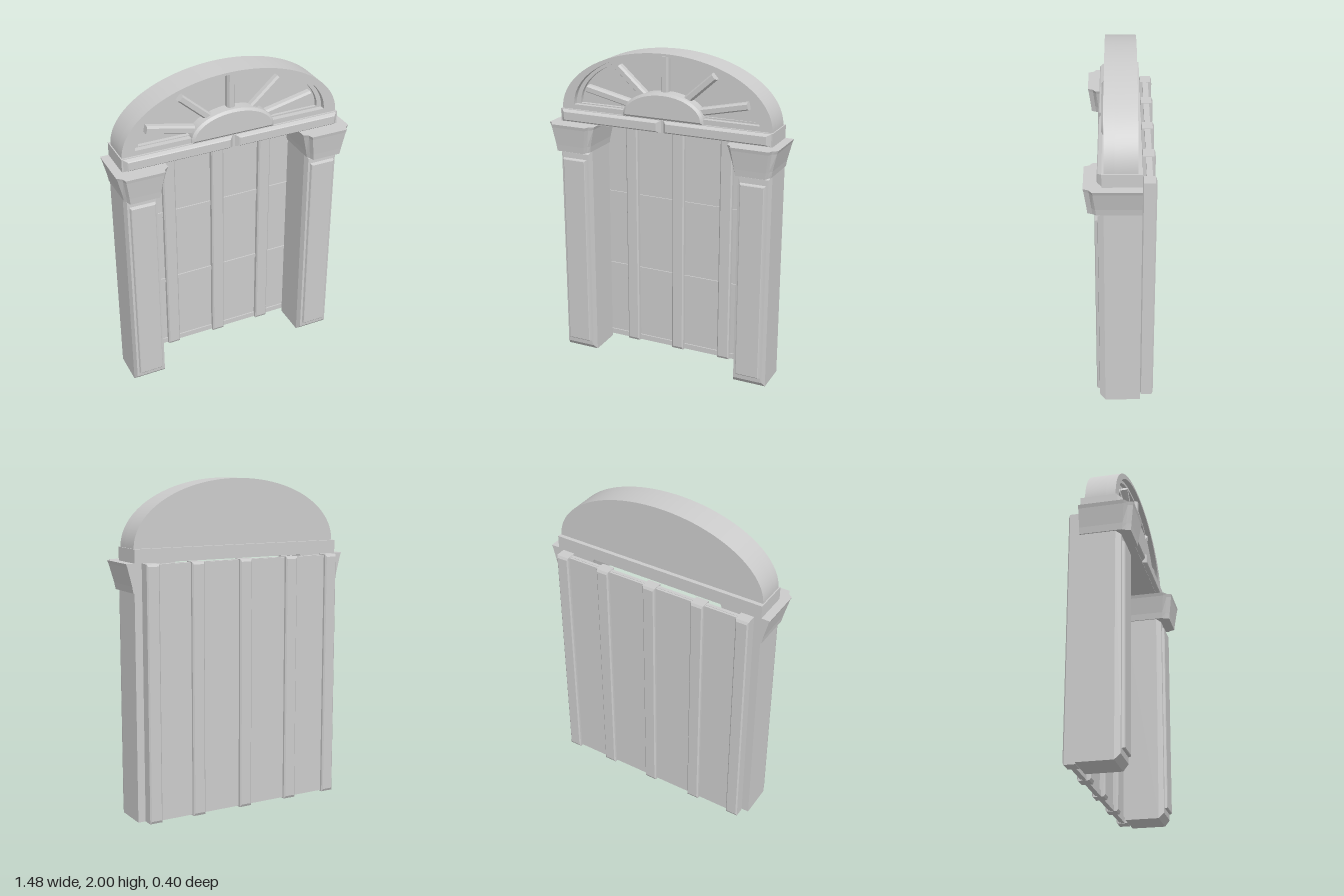
import * as THREE from 'three';
import { toCreasedNormals } from 'three/addons/utils/BufferGeometryUtils.js';

const material = new THREE.MeshStandardMaterial({ color: 0xcccccc });

function add(parent, name, geometry, x = 0, y = 0, z = 0) {
  const mesh = new THREE.Mesh(geometry, material);
  mesh.name = name;
  mesh.position.set(x, y, z);
  parent.add(mesh);
  return mesh;
}

// Box given by its lower and upper corners
function box(parent, name, [x0, y0, z0], [x1, y1, z1]) {
  return add(parent, name, new THREE.BoxGeometry(x1 - x0, y1 - y0, z1 - z0),
    (x0 + x1) / 2, (y0 + y1) / 2, (z0 + z1) / 2);
}

// Closed solid through counter-clockwise outlines stacked along z
function loft(layers) {
  const pos = [];
  const rings = layers.map(({ z, pts }) => pts.map(([x, y]) => [x, y, z]));
  const tri = (a, b, c) => pos.push(...a, ...b, ...c);
  const n = rings[0].length, last = rings[rings.length - 1];
  for (let i = 0; i < rings.length - 1; i++) {
    for (let j = 0; j < n; j++) {
      const k = (j + 1) % n;
      tri(rings[i][j], rings[i][k], rings[i + 1][k]);
      tri(rings[i][j], rings[i + 1][k], rings[i + 1][j]);
    }
  }
  for (let j = 1; j < n - 1; j++) {
    tri(rings[0][0], rings[0][j + 1], rings[0][j]);
    tri(last[0], last[j], last[j + 1]);
  }
  const g = new THREE.BufferGeometry();
  g.setAttribute('position', new THREE.Float32BufferAttribute(pos, 3));
  g.computeVertexNormals();
  return g;
}

const rect = (z, x0, x1, y0, y1) => ({ z, pts: [[x0, y0], [x1, y0], [x1, y1], [x0, y1]] });

// Upper half of an ellipse, closed along its base
function halfEllipse(rx, ry, y) {
  const s = new THREE.Shape();
  s.moveTo(rx, y);
  s.absellipse(0, y, rx, ry, 0, Math.PI, false, 0);
  s.closePath();
  return s;
}

function extrude(shape, z0, z1, options = {}) {
  const g = new THREE.ExtrudeGeometry(shape, { depth: z1 - z0, curveSegments: 40, bevelEnabled: false, ...options });
  g.translate(0, 0, z0);
  return toCreasedNormals(g, 0.5);
}

function createPillar(side) {
  const pillar = new THREE.Group();
  pillar.name = side > 0 ? 'leftPillar' : 'rightPillar';
  pillar.position.x = side * 0.585;

  // Shaft with a stepped, bevelled front
  add(pillar, 'shaft', loft([
    rect(-0.12, -0.105, 0.105, 0, 1.36),
    rect(0.09, -0.105, 0.105, 0, 1.36),
    rect(0.122, -0.093, 0.093, 0.035, 1.34),
    rect(0.124, -0.08, 0.08, 0.068, 1.305),
    rect(0.138, -0.075, 0.075, 0.07, 1.3),
    rect(0.141, -0.07, 0.07, 0.075, 1.295),
  ]));

  // Flared capital, lofted upwards
  const plan = (y, w, corner, front, inner) => ({
    z: y,
    pts: [[-w, 0.12], [-w, -corner], [-inner - 0.01, -corner - 0.02], [-inner, -front],
      [inner, -front], [inner + 0.01, -corner - 0.02], [w, -corner], [w, 0.12]],
  });
  const capital = loft([
    plan(1.36, 0.112, 0.13, 0.178, 0.09),
    plan(1.4, 0.119, 0.135, 0.182, 0.095),
    plan(1.51, 0.147, 0.147, 0.196, 0.112),
    plan(1.53, 0.155, 0.15, 0.2, 0.117),
  ]);
  capital.rotateX(-Math.PI / 2);
  add(pillar, 'capital', capital);
  return pillar;
}

function createLintel() {
  const lintel = new THREE.Group();
  lintel.name = 'lintel';
  box(lintel, 'lintelBeam', [-0.687, 1.53, -0.12], [0.687, 1.61, 0.1]);
  for (const s of [-1, 1]) {
    const x = s * 0.343;
    add(lintel, 'lintelPanel', loft([
      rect(0.1, -0.335, 0.335, 1.533, 1.607),
      rect(0.12, -0.318, 0.318, 1.541, 1.599),
      rect(0.125, -0.312, 0.312, 1.546, 1.594),
    ]), x);
  }
  return lintel;
}

function createFanlight() {
  const fan = new THREE.Group();
  fan.name = 'fanlight';
  const back = 0.03;

  // Solid arch behind, rim with a fan-shaped opening in front
  add(fan, 'archBody', extrude(halfEllipse(0.68, 0.39, 1.61), -0.095, back));
  const rim = halfEllipse(0.68, 0.39, 1.61);
  rim.holes.push(halfEllipse(0.6, 0.345, 1.64));
  add(fan, 'archRim', extrude(rim, back, 0.088));
  const innerRim = halfEllipse(0.602, 0.347, 1.638);
  innerRim.holes.push(halfEllipse(0.57, 0.325, 1.645));
  add(fan, 'innerRim', extrude(innerRim, back, 0.055));

  // Hub with a bevelled edge
  add(fan, 'hub', extrude(halfEllipse(0.245, 0.135, 1.622), back, 0.095,
    { bevelEnabled: true, bevelSize: 0.015, bevelThickness: 0.012, bevelSegments: 1 }));

  // Radiating bars: inner end to outer end
  const bars = [[0, 1.74, 0, 1.98], [0.13, 1.73, 0.31, 1.89], [0.21, 1.672, 0.52, 1.74]];
  for (const [x0, y0, x1, y1] of bars) {
    for (const s of x1 ? [-1, 1] : [1]) {
      const length = Math.hypot(x1 - x0, y1 - y0);
      const bar = add(fan, 'fanBar', loft([
        rect(back, -length / 2, length / 2, -0.023, 0.023),
        rect(0.06, -length / 2, length / 2, -0.023, 0.023),
        rect(0.075, -length / 2, length / 2, -0.014, 0.014),
      ]), s * (x0 + x1) / 2, (y0 + y1) / 2);
      bar.rotation.z = Math.atan2(y1 - y0, s * (x1 - x0));
    }
  }
  return fan;
}

function createDoor() {
  const door = new THREE.Group();
  door.name = 'door';
  box(door, 'doorPanel', [-0.645, 0.01, -0.178], [0.645, 1.525, -0.152]);

  // Horizontal rails on the front
  for (const [y0, y1] of [[0.005, 0.04], [0.5, 0.53], [1.0, 1.03], [1.5, 1.527]]) {
    box(door, 'doorRail', [-0.645, y0, -0.165], [0.645, y1, -0.144]);
  }

  // Upright battens with chamfered ends and edges
  for (const x of [-0.607, -0.32, 0, 0.32, 0.607]) {
    add(door, 'doorBatten', loft([
      rect(-0.2, -0.032, 0.032, 0.02, 1.515),
      rect(-0.192, -0.04, 0.04, 0.004, 1.53),
      rect(-0.128, -0.04, 0.04, 0.004, 1.53),
      rect(-0.12, -0.032, 0.032, 0.02, 1.515),
    ]), x);
  }
  return door;
}

export function createModel() {
  const model = new THREE.Group();
  model.name = 'archedDoorway';
  model.add(createPillar(1), createPillar(-1), createLintel(), createFanlight(), createDoor());
  return model;
}
